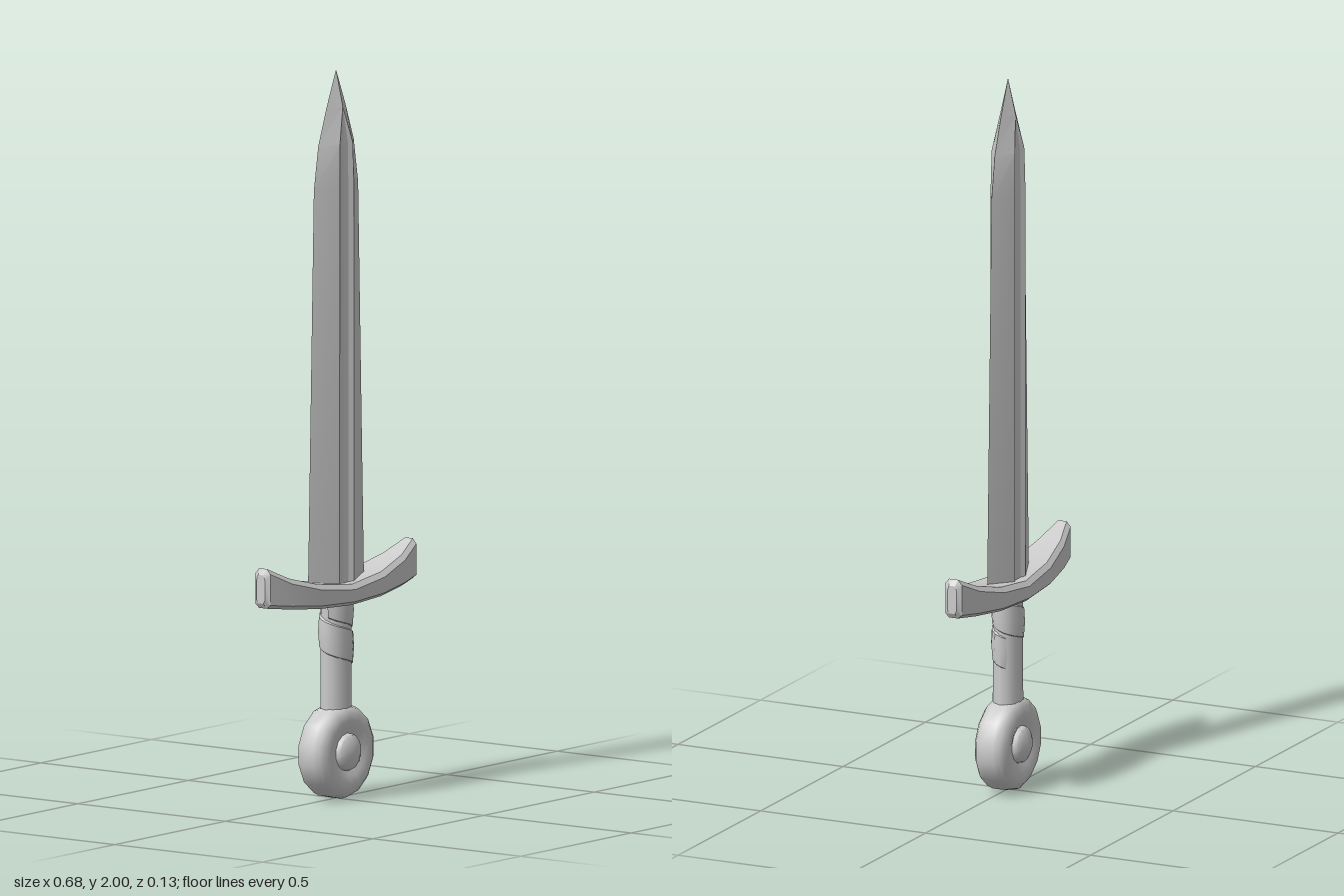
import * as THREE from 'three';
import { toCreasedNormals } from 'three/addons/utils/BufferGeometryUtils.js';

const steel = new THREE.MeshStandardMaterial({ color: 0xcccccc });

// Skin a list of rings (counter-clockwise about the travel direction) and cap both ends
function loft(rings, crease) {
  const pos = [];
  const tri = (a, b, c) => {
    const n = b.clone().sub(a).cross(c.clone().sub(a));
    if (n.length() > 1e-9) for (const p of [a, b, c]) pos.push(p.x, p.y, p.z);
  };
  const count = rings[0].length;
  for (let i = 0; i < rings.length - 1; i++) {
    for (let j = 0; j < count; j++) {
      const k = (j + 1) % count;
      tri(rings[i][j], rings[i][k], rings[i + 1][k]);
      tri(rings[i][j], rings[i + 1][k], rings[i + 1][j]);
    }
  }
  const first = rings[0], last = rings[rings.length - 1];
  for (let j = 1; j < count - 1; j++) {
    tri(first[0], first[j + 1], first[j]);
    tri(last[0], last[j], last[j + 1]);
  }
  const geo = new THREE.BufferGeometry();
  geo.setAttribute('position', new THREE.Float32BufferAttribute(pos, 3));
  return toCreasedNormals(geo, crease);
}

function part(name, geo) {
  const mesh = new THREE.Mesh(geo, steel);
  mesh.name = name;
  return mesh;
}

// Double-edged blade with a shallow fuller on each face
function blade() {
  // y, edge x, ridge x, ridge z, fuller z
  const stations = [
    [0.56, 0.127, 0.033, 0.037, 0.026],
    [1.68, 0.1, 0.032, 0.037, 0.026],
    [1.8, 0.08, 0.029, 0.035, 0.026],
    [1.9, 0.043, 0, 0.023, 0.023],
    [2.0, 0, 0, 0, 0],
  ];
  const rings = stations.map(([y, e, rx, rz, fz]) => {
    const gx = rx * 0.55, gz = fz + (rz - fz) * 0.25;
    return [
      [e, 0], [rx, -rz], [gx, -gz], [0, -fz], [-gx, -gz], [-rx, -rz],
      [-e, 0], [-rx, rz], [-gx, gz], [0, fz], [gx, gz], [rx, rz],
    ].map(([x, z]) => new THREE.Vector3(x, y, z));
  });
  return part('blade', loft(rings, 0.2));
}

// Crossguard sweeping upward and narrowing to both ends
function guard() {
  // x, bottom y, top y, outer half depth, inner half depth
  const half = [
    [0, 0.535, 0.592, 0.066, 0.054],
    [0.14, 0.541, 0.608, 0.06, 0.048],
    [0.255, 0.553, 0.638, 0.043, 0.031],
    [0.33, 0.563, 0.672, 0.025, 0.013],
    [0.34, 0.577, 0.655, 0.014, 0.009],
  ];
  const left = half.slice(1).reverse().map(([x, ...rest]) => [-x, ...rest]);
  const rings = [...left, ...half].map(([x, b, t, zo, zi]) => [
    [t, zi], [t - 0.014, zo], [b + 0.01, zo], [b, zi],
    [b, -zi], [b + 0.01, -zo], [t - 0.014, -zo], [t, -zi],
  ].map(([y, z]) => new THREE.Vector3(x, y, z)));
  return part('crossguard', loft(rings, 0.45));
}

// Oval grip core with a band wound around its upper part
function grip() {
  const group = new THREE.Group();
  group.name = 'grip';
  const core = new THREE.CylinderGeometry(0.05, 0.051, 0.32, 12);
  core.scale(1, 1, 0.76).translate(0, 0.4, 0);
  group.add(part('gripCore', core));

  const pitch = 0.1, start = -Math.PI / 2, turns = 1.7, steps = 28;
  const profile = [
    [0.044, -0.049], [0.055, -0.042], [0.059, 0], [0.056, 0.042], [0.044, 0.049],
  ];
  const rings = [];
  for (let i = 0; i <= steps; i++) {
    const a = start + (i / steps) * turns * Math.PI * 2;
    const centre = 0.425 + pitch * (a - Math.PI / 2) / (Math.PI * 2);
    const swell = Math.min(1, i / 5);
    rings.push(profile.map(([r, dy]) => {
      const rr = 0.044 + (r - 0.044) * swell;
      return new THREE.Vector3(Math.cos(a) * rr, centre + dy, Math.sin(a) * rr * 0.72);
    }));
  }
  group.add(part('gripWrap', loft(rings, 0.6)));
  return group;
}

// Round pommel: rounded rim, dished faces and a central boss on both sides
function pommel() {
  const front = [
    [0.13, 0.018], [0.124, 0.036], [0.108, 0.047], [0.09, 0.05], [0.07, 0.045],
    [0.052, 0.038], [0.048, 0.05], [0.03, 0.06], [0, 0.063],
  ];
  const back = [...front].reverse().map(([r, z]) => [r, -z]);
  const points = [...back, ...front].map(([r, z]) => new THREE.Vector2(r, z));
  const geo = new THREE.LatheGeometry(points, 14);
  geo.rotateX(Math.PI / 2).translate(0, 0.13, 0);
  return part('pommel', toCreasedNormals(geo, 0.75));
}

export function createModel() {
  const model = new THREE.Group();
  model.name = 'sword';
  model.add(blade(), guard(), grip(), pommel());
  return model;
}
